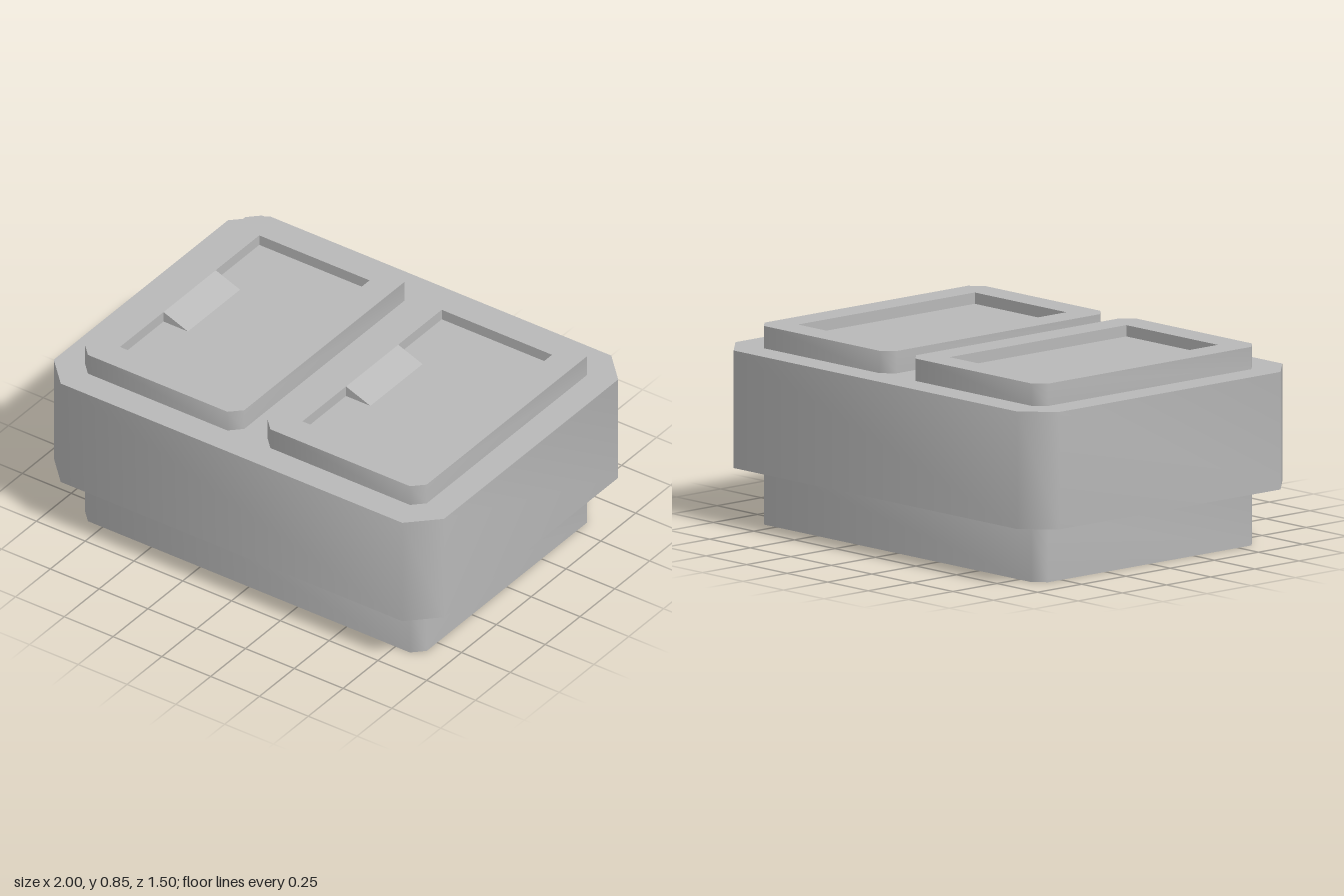
import * as THREE from 'three';
import { toCreasedNormals } from 'three/addons/utils/BufferGeometryUtils.js';

const grey = new THREE.MeshStandardMaterial({ color: 0xb8b8b8 });
grey.name = 'plain grey';

// Rectangle with cut corners, half sizes w and d
function chamferedShape(w, d, c) {
  return new THREE.Shape([
    [w - c, -d], [w, -d + c], [w, d - c], [w - c, d],
    [-w + c, d], [-w, d - c], [-w, -d + c], [-w + c, -d],
  ].map(([x, y]) => new THREE.Vector2(x, y)));
}

// Upright slab from y0 to y1, shaded smoothly around its cut corners
function slab(name, shape, y0, y1) {
  const extruded = new THREE.ExtrudeGeometry(shape, { depth: y1 - y0, bevelEnabled: false });
  extruded.rotateX(-Math.PI / 2).translate(0, y0, 0);
  const mesh = new THREE.Mesh(toCreasedNormals(extruded, Math.PI / 3), grey);
  mesh.name = name;
  return mesh;
}

// Raised pad: rim around a shallow recess, with a small ramp at its -x edge
function createPad(name) {
  const pad = new THREE.Group();
  pad.name = name;
  const bottom = 0.75, floorY = 0.797, top = 0.845;
  const left = -0.2825, right = 0.2825, depth = 0.5;

  const rim = chamferedShape(0.4075, 0.625, 0.05);
  rim.holes.push(new THREE.Path([
    new THREE.Vector2(left, -depth), new THREE.Vector2(left, depth),
    new THREE.Vector2(right, depth), new THREE.Vector2(right, -depth),
  ]));
  pad.add(slab('padRim', rim, bottom, top));

  const floor = new THREE.Mesh(
    new THREE.BoxGeometry(right - left, floorY - bottom, depth * 2), grey);
  floor.name = 'recessFloor';
  floor.position.y = (bottom + floorY) / 2;
  pad.add(floor);

  // Wedge sloping from the rim down to the recess floor
  const wedge = new THREE.Shape([
    new THREE.Vector2(left, floorY),
    new THREE.Vector2(left + 0.125, floorY),
    new THREE.Vector2(left, top),
  ]);
  const ramp = new THREE.Mesh(
    new THREE.ExtrudeGeometry(wedge, { depth: 0.375, bevelEnabled: false }), grey);
  ramp.name = 'recessRamp';
  ramp.position.z = -0.1875;
  pad.add(ramp);
  return pad;
}

export function createModel() {
  const model = new THREE.Group();
  model.name = 'twoPadBlock';

  model.add(slab('base', chamferedShape(0.875, 0.625, 0.05), 0, 0.25));
  model.add(slab('body', chamferedShape(1, 0.75, 0.125), 0.25, 0.75));

  for (const [name, x] of [['rightPad', -0.4675], ['leftPad', 0.4675]]) {
    const pad = createPad(name);
    pad.position.x = x;
    model.add(pad);
  }
  return model;
}
